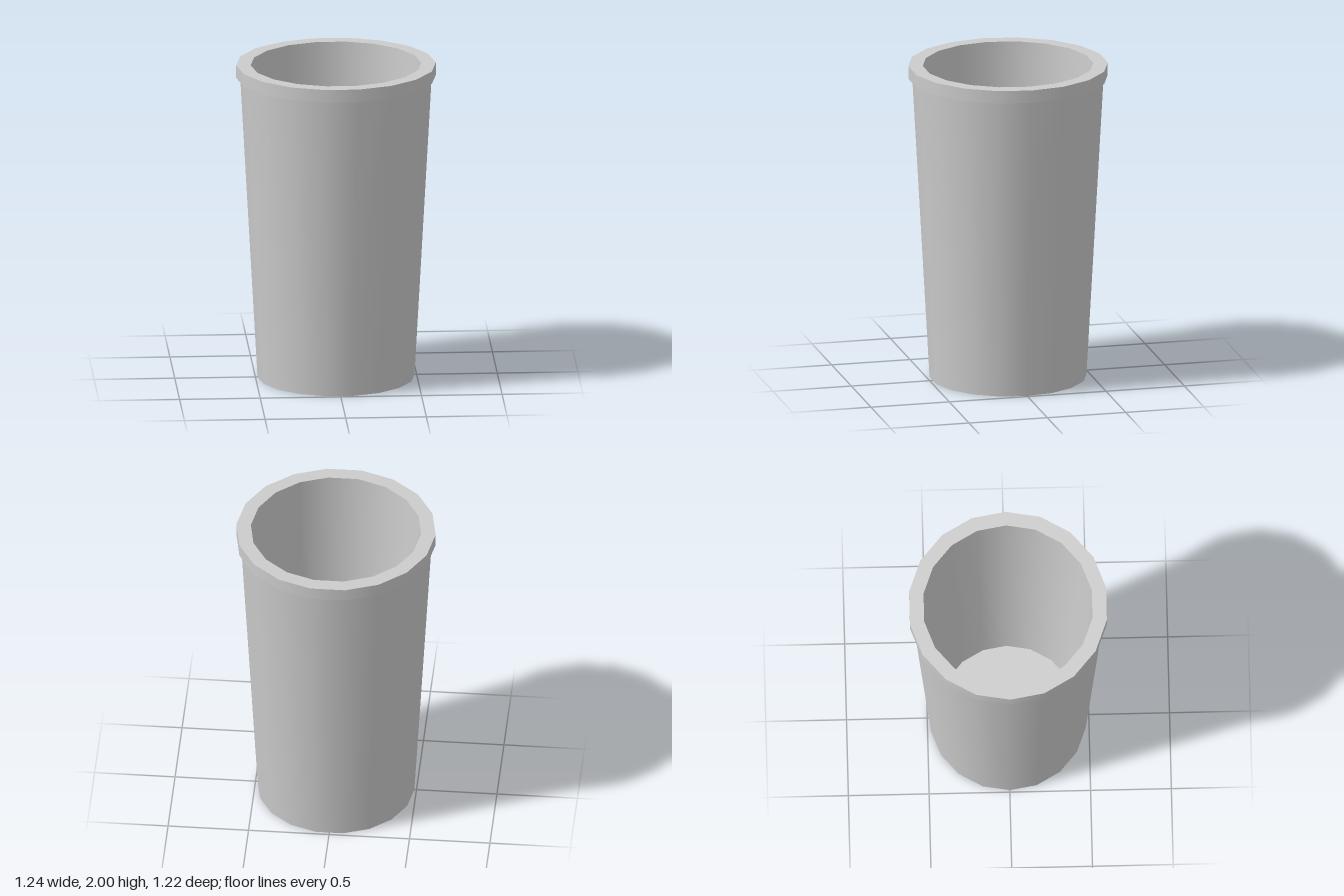
import * as THREE from 'three';

const SIDES = 18;

export function createModel() {
  const cup = new THREE.Group();
  cup.name = 'cup';
  const material = new THREE.MeshStandardMaterial({ color: 0xcccccc });

  // One ring of surface per profile step: smooth around, sharp between steps
  const addBand = (name, from, to) => {
    const points = [new THREE.Vector2(...from), new THREE.Vector2(...to)];
    const geometry = new THREE.LatheGeometry(points, SIDES, Math.PI / 2);
    const mesh = new THREE.Mesh(geometry, material);
    mesh.name = name;
    cup.add(mesh);
  };

  // Profile [radius, height], from under the base, over the rim, to the inner floor
  const profile = [
    [0, 0], [0.487, 0], [0.594, 1.92], [0.619, 1.92],
    [0.619, 2], [0.529, 2], [0.428, 0.1], [0, 0.1],
  ];
  const names = ['base', 'outerWall', 'rimUnderside', 'rimSide', 'rimTop', 'innerWall', 'innerFloor'];
  names.forEach((name, i) => addBand(name, profile[i], profile[i + 1]));

  return cup;
}
